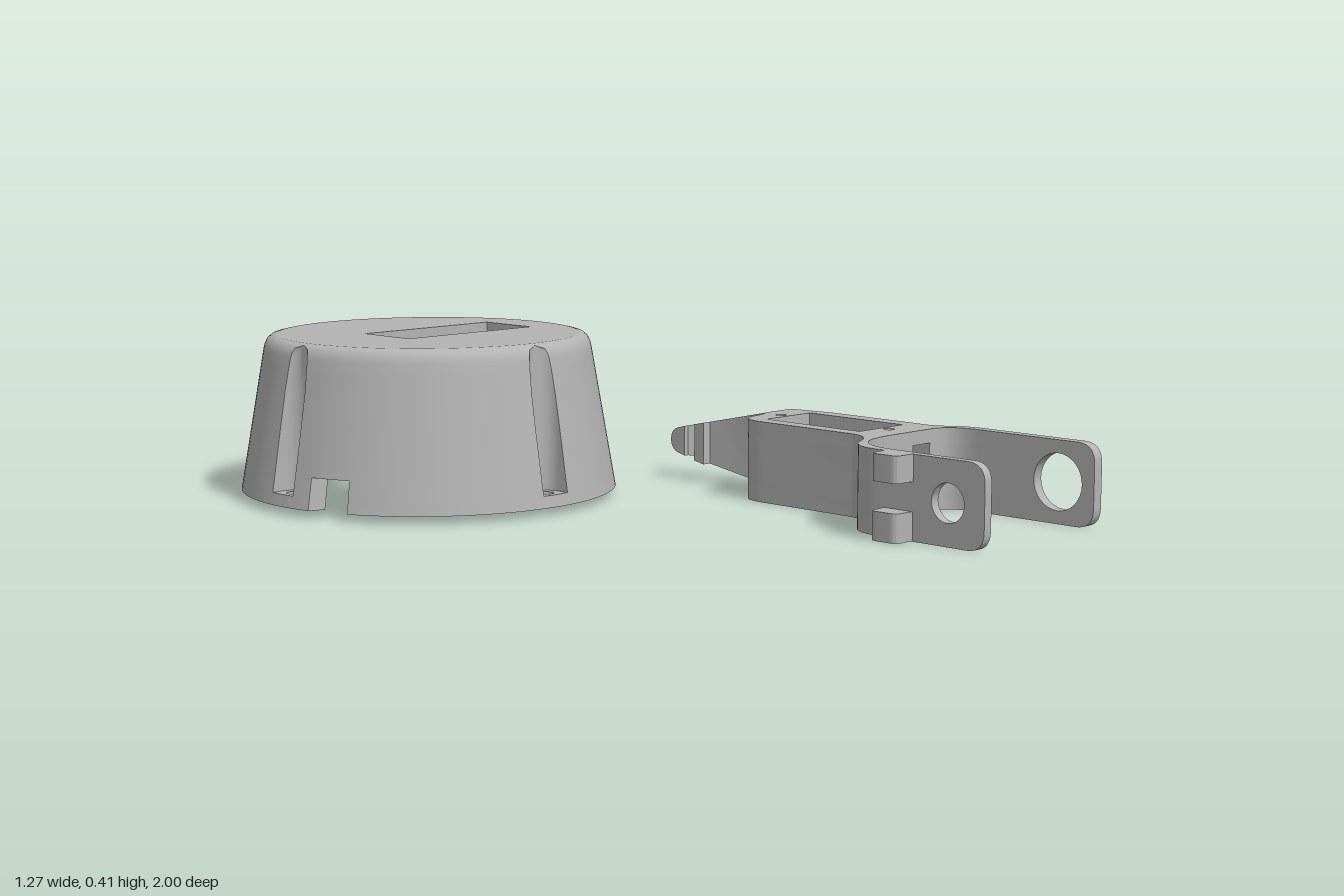
import * as THREE from 'three';
import { toCreasedNormals } from 'three/addons/utils/BufferGeometryUtils.js';

const grey = new THREE.MeshStandardMaterial({ color: 0xb3b3b3, side: THREE.DoubleSide });
grey.name = 'grey plastic';

function add(group, name, geometry, crease = 0.6) {
  const mesh = new THREE.Mesh(toCreasedNormals(geometry, crease), grey);
  mesh.name = name;
  group.add(mesh);
  return mesh;
}

// Path commands: [u, v] is a line, [cu, cv, u, v] a quadratic curve
function path(cmds, Type = THREE.Shape) {
  const p = new Type();
  cmds.forEach((c, i) => {
    if (i === 0) p.moveTo(c[0], -c[1]);
    else if (c.length === 2) p.lineTo(c[0], -c[1]);
    else p.quadraticCurveTo(c[0], -c[1], c[2], -c[3]);
  });
  return p;
}
const rect = (x0, z0, x1, z1, Type) => path([[x0, z0], [x1, z0], [x1, z1], [x0, z1]], Type);
const circle = (u, v, r) => new THREE.Path().absarc(u, -v, r, 0, Math.PI * 2);

// Plan (x, z) raised from y0 to y1
function raise(shape, y0, y1, holes = []) {
  shape.holes.push(...holes);
  return new THREE.ExtrudeGeometry(shape, { depth: y1 - y0, bevelEnabled: false, curveSegments: 10 })
    .rotateX(-Math.PI / 2).translate(0, y0, 0);
}
// Side profile (z, y) extruded from x0 to x1
const sideTurn = new THREE.Matrix4().makeBasis(
  new THREE.Vector3(0, 0, 1), new THREE.Vector3(0, -1, 0), new THREE.Vector3(1, 0, 0));
function across(shape, x0, x1, holes = []) {
  shape.holes.push(...holes);
  return new THREE.ExtrudeGeometry(shape, { depth: x1 - x0, bevelEnabled: false, curveSegments: 16 })
    .applyMatrix4(sideTurn).translate(x0, 0, 0);
}
// Flat face in plan at height y
function flat(shape, y, holes = []) {
  shape.holes.push(...holes);
  return new THREE.ShapeGeometry(shape, 32).rotateX(-Math.PI / 2).translate(0, y, 0);
}

// Surface through rows of points; keep(row, column) can leave gaps
function loft(rows, flip = false, keep = () => true) {
  const n = rows[0].length, index = [];
  for (let j = 0; j < rows.length - 1; j++) for (let i = 0; i < n - 1; i++) {
    if (!keep(j, i)) continue;
    const a = j * n + i, b = a + 1, c = a + n, d = c + 1;
    index.push(...(flip ? [a, b, c, b, d, c] : [a, c, b, b, c, d]));
  }
  const g = new THREE.BufferGeometry();
  g.setAttribute('position', new THREE.Float32BufferAttribute(rows.flat(2), 3));
  g.setIndex(index);
  return g;
}

const D = 0.44;            // distance of screw channels from the centre
const GROOVE = 13, STEPS = 24;
// Closed ring of radius R at height y with four round channels of half width g
function ring(R, y, g, grooved = true) {
  const px = Math.sqrt(R * R - g * g), straight = px >= D;
  let s = g, beta = Math.PI / 2, open = R > D - g + 1e-4;
  if (!straight && open) {
    const x = (R * R + D * D - g * g) / (2 * D);
    s = Math.sqrt(R * R - x * x);
    beta = Math.acos((D - x) / g);
  } else if (!open) s = 0.001;
  const phi = Math.asin(s / R), pts = [];
  for (let q = 0; q < 4; q++) {
    const a = q * Math.PI / 2, ca = Math.cos(a), sa = Math.sin(a);
    const put = (u, v) => pts.push([u * ca - v * sa, y, u * sa + v * ca]);
    const polar = (t) => put(R * Math.cos(t), R * Math.sin(t));
    for (let k = 0; k < GROOVE; k++) {
      const t = -1 + 2 * k / (GROOVE - 1);
      if (!grooved || !open || k === 0 || k === GROOVE - 1) polar(phi * t);
      else {
        const w = beta * (-1 + 2 * (k - 1) / (GROOVE - 3));
        put(D - g * Math.cos(w), g * Math.sin(w));
      }
    }
    for (let k = 1; k < STEPS; k++) polar(phi + (Math.PI / 2 - 2 * phi) * k / STEPS);
  }
  pts.push(pts[0]);
  return pts;
}

function createHousing() {
  const h = new THREE.Group();
  h.name = 'housing';
  h.position.set(-0.16, 0, -0.52);
  const R = (y) => 0.48 - 0.172 * (y - 0.02);
  const outer = (y, grooved) => ring(R(y), y, 0.04, grooved);
  const inner = (y) => ring(R(y) - 0.035, y, 0.065);
  const n0 = 66, n1 = 70;  // columns of the cable notch
  const solid = (j, i) => j > 0 || i < n0 || i >= n1;

  // Walls
  add(h, 'lowerWall', loft([outer(0.02, false), outer(0.05, false)], false, solid));
  const rows = [0.05, 0.1, 0.2, 0.3, 0.35, 0.38].map((y) => outer(y));
  for (const [r, y] of [[0.4155, 0.39], [0.4095, 0.403], [0.4, 0.4115], [0.385, 0.415]]) rows.push(ring(r, y, 0.04));
  add(h, 'outerWall', loft(rows, false, solid));
  add(h, 'innerWall', loft([0.02, 0.1, 0.2, 0.3, 0.375].map(inner), true, solid));

  // Bottom rim, open at the notch
  const o = outer(0.02, false), n = inner(0.02), plan = (p) => [p[0], p[2]];
  const around = (c) => [...c.slice(n1, -1), ...c.slice(0, n0 + 1)].map(plan);
  const turns = [0, 1, 2, 3].map((q) => [D * Math.cos(q * Math.PI / 2), D * Math.sin(q * Math.PI / 2)]);
  add(h, 'bottomRim', flat(path([...around(o), ...around(n).reverse()]), 0.02,
    turns.map(([x, z]) => circle(x, z, 0.018))));

  // Notch faces
  const ot = outer(0.1), it = inner(0.1);
  add(h, 'notchTop', loft([ot.slice(n0, n1 + 1), it.slice(n0, n1 + 1)]));
  for (const k of [n0, n1]) add(h, 'notchSide', loft([[o[k], ot[k]], [n[k], it[k]]], k === n1));

  // Screw channel floors and bores
  const og = outer(0.05), oc = outer(0.05, false);
  turns.forEach(([x, z], q) => {
    const s = q * (GROOVE + STEPS - 1), e = s + GROOVE;
    const edge = [...og.slice(s, e), ...oc.slice(s + 1, e - 1).reverse()].map(plan);
    add(h, 'channelFloor', flat(path(edge), 0.05, [circle(x, z, 0.018)]));
    add(h, 'screwBore', new THREE.CylinderGeometry(0.018, 0.018, 0.03, 20, 1, true).translate(x, 0.035, z));
  });

  // Roof with a pocket and two mounting posts
  const pocket = () => rect(-0.14, -0.0875, 0.28, 0.0875, THREE.Path);
  const roof = (r) => path(ring(r, 0, 0.04, false).slice(0, -1).map(plan));
  add(h, 'roof', flat(roof(0.385), 0.415, [pocket()]));
  add(h, 'ceiling', flat(roof(0.385), 0.375, [pocket()]));
  add(h, 'pocketWall', raise(rect(-0.17, -0.1175, 0.31, 0.1175), 0.3, 0.414, [pocket()]));
  for (const [x0, x1, hole] of [[-0.17, -0.095, -0.11], [0.225, 0.31, 0.25]])
    add(h, 'mountingPost', raise(rect(x0, -0.1175, x1, 0.1175), 0.2, 0.3, [circle(hole, 0, 0.013)]));
  return h;
}

function createArm() {
  const a = new THREE.Group();
  a.name = 'forkArm';
  const H = 0.205, mid = H / 2;

  // Body in three layers; the middle one has the cable slot
  const body = (slot) => path([
    [0.18, 0.72], [0.18, 0.68], [0.18, 0.61, 0.25, 0.575], [0.33, 0.54, 0.33, 0.48], [0.33, 0.19],
    [0.33, 0.105, 0.41, 0.1], [0.44, 0.098, 0.465, 0.08], [0.564, 0.08], [0.585, 0.2], [0.585, 0.52],
    [0.588, 0.545, 0.61, 0.57], [0.635, 0.6, 0.635, 0.66], [0.635, 0.72], [0.605, 0.72], [0.605, 0.66],
    [0.605, 0.565, 0.53, 0.565], ...slot, [0.465, 0.565], [0.36, 0.565], [0.205, 0.57, 0.205, 0.72]]);
  const slot = [[0.53, 0.47], [0.54, 0.47], [0.54, 0.165], [0.375, 0.165], [0.375, 0.47], [0.465, 0.47]];
  const opening = () => rect(0.375, 0.165, 0.54, 0.47, THREE.Path);
  add(a, 'bodyBottom', raise(body([]), 0, 0.04, [opening()]));
  add(a, 'bodyMiddle', raise(body(slot), 0.04, 0.17));
  add(a, 'bodyTop', raise(body([]), 0.17, H,
    [opening(), circle(0.457, 0.14, 0.014), circle(0.457, 0.495, 0.014)]));

  // Nose, thinning towards its end
  const nose = raise(path([[0.564, 0.08], [0.465, 0.08], [0.5, 0.06, 0.505, 0.02], [0.48, -0.13], [0.455, -0.13],
    [0.455, -0.163], [0.47, -0.165], [0.49, -0.185], [0.47, -0.2], [0.514, -0.2]]), 0, H);
  const p = nose.attributes.position;
  for (let i = 0; i < p.count; i++)
    p.setY(i, mid + (p.getY(i) - mid) * (1 - 0.61 * (0.08 - p.getZ(i)) / 0.28));
  add(a, 'nose', nose);
  add(a, 'noseTip', across(path([[-0.2, mid - 0.04], [-0.215, mid - 0.036], [-0.25, mid - 0.03, -0.25, mid],
    [-0.25, mid + 0.03, -0.215, mid + 0.036], [-0.2, mid + 0.04]]), 0.457, 0.51));

  // Fork legs with pivot holes
  for (const [x0, x1, r] of [[0.18, 0.205, 0.047], [0.605, 0.635, 0.07]])
    add(a, 'forkLeg', across(path([[0.72, 0], [0.95, 0], [1, 0, 1, 0.05], [1, H - 0.05], [1, H, 0.95, H],
      [0.72, H]]), x0, x1, [circle(0.895, mid, r)]));

  // Pair of lugs on the outside of one leg
  for (const [y0, y1] of [[0, 0.07], [0.14, H]])
    add(a, 'lug', raise(path([[0.185, 0.7], [0.18, 0.71, 0.165, 0.71], [0.145, 0.71], [0.125, 0.71, 0.125, 0.73],
      [0.125, 0.77], [0.125, 0.79, 0.145, 0.79], [0.165, 0.79], [0.18, 0.79, 0.185, 0.8]]), y0, y1));
  return a;
}

export function createModel() {
  const model = new THREE.Group();
  model.name = 'housingAndArm';
  model.add(createHousing(), createArm());
  return model;
}
